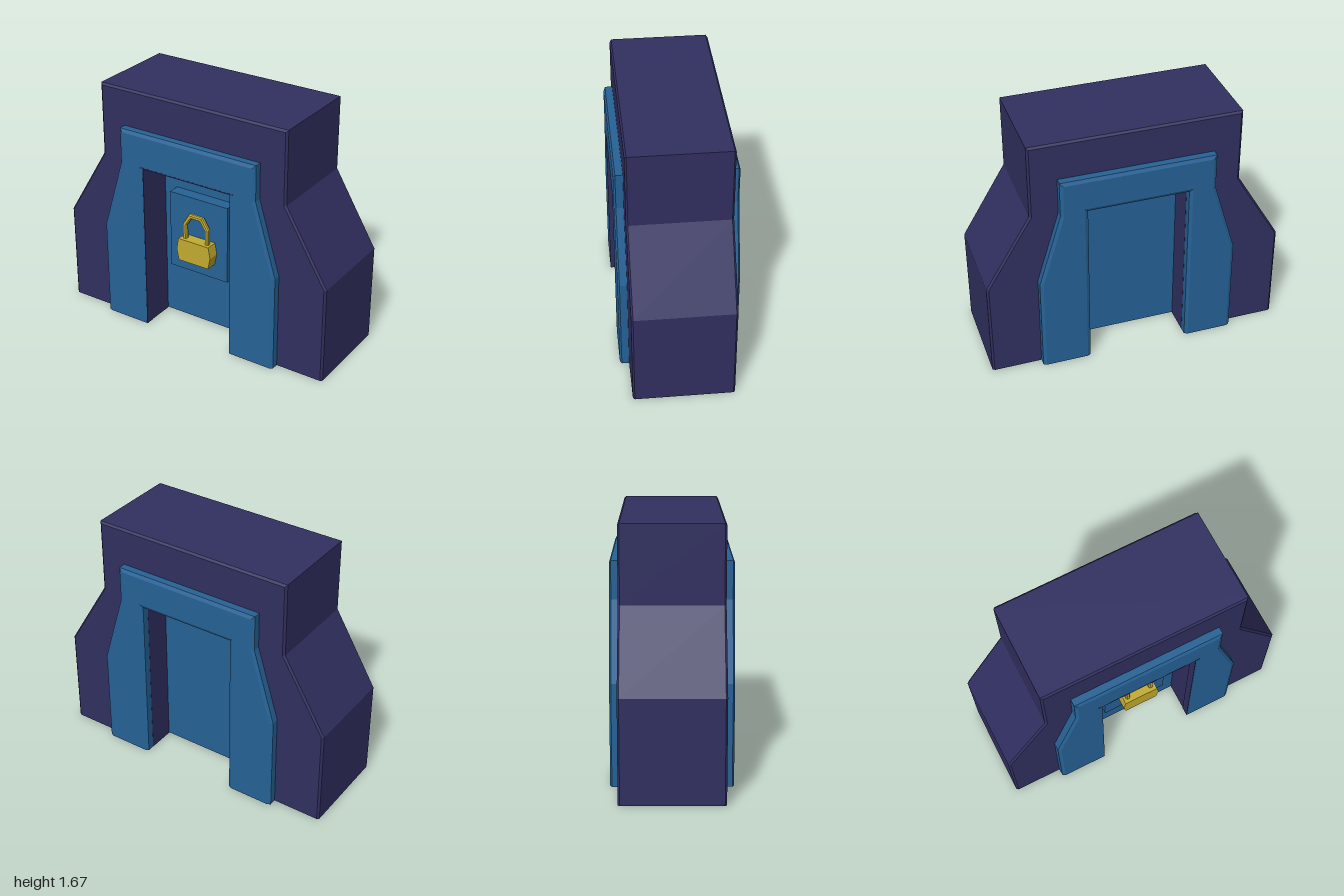
import * as THREE from 'three';

const mat = (name, color) => {
  const m = new THREE.MeshStandardMaterial({ color });
  m.name = name;
  return m;
};

// Mirrors a right-hand profile, bottom to top, into a closed outline
const mirrored = (half) => [...half, ...half.map(([x, y]) => [-x, y]).reverse()];
const toShape = (pts) => new THREE.Shape(pts.map(([x, y]) => new THREE.Vector2(x, y)));

// Arch slab with chamfered outer edges on both faces, and optionally around the opening
function archSlab(outer, openX, openY, z0, z1, bevelXY, bevelZ, innerBevel) {
  const outline = mirrored(outer);
  outline.push([-openX, 0], [-openX, openY], [openX, openY], [openX, 0]);
  const g = new THREE.ExtrudeGeometry(toShape(outline), { depth: 3, steps: 3, bevelEnabled: false });
  const p = g.attributes.position;
  const zs = [z0, z0 + bevelZ, z1 - bevelZ, z1];
  for (let i = 0; i < p.count; i++) {
    const ring = Math.round(p.getZ(i));
    let x = p.getX(i), y = p.getY(i);
    if (ring === 0 || ring === 3) {
      if (Math.abs(x) > openX + 0.01) {
        x -= Math.sign(x) * bevelXY;
        if (y > openY + 0.1) y -= bevelXY;
      } else if (innerBevel) {
        x += Math.sign(x) * bevelXY;
        if (y > 0.5) y += bevelXY;
      }
    }
    p.setXYZ(i, x, y, zs[ring]);
  }
  g.computeVertexNormals();
  return g;
}

export function createModel() {
  const group = new THREE.Group();
  const stone = mat('dark indigo', 0x312f60);
  const blue = mat('door blue', 0x266296);
  const gold = mat('lock gold', 0xc2ab2f);

  const add = (name, geometry, material, x = 0, y = 0, z = 0) => {
    const m = new THREE.Mesh(geometry, material);
    m.name = name;
    m.position.set(x, y, z);
    group.add(m);
    return m;
  };
  const box = (name, material, w, h, d, x, y, z) =>
    add(name, new THREE.BoxGeometry(w, h, d), material, x, y, z);

  // Gate wall with stepped, sloping shoulders
  const wall = [[1, 0], [1, 0.67], [0.7, 1.17], [0.7, 1.67]];
  add('wall', archSlab(wall, 0.335, 1.175, -0.33, 0.33, 0.014, 0.012, false), stone);

  // Raised frames on both faces
  const frame = [[0.665, 0], [0.665, 0.67], [0.515, 1.17], [0.515, 1.415]];
  add('frontFrame', archSlab(frame, 0.336, 1.176, 0.308, 0.39, 0.022, 0.012, false), blue);
  add('backFrame', archSlab(frame, 0.336, 1.176, 0.308, 0.39, 0.022, 0.012, true), blue).rotation.y = Math.PI;

  // Dark lining inside the front frame
  for (const s of [-1, 1]) box('jambLining', stone, 0.006, 1.175, 0.06, s * 0.335, 0.5875, 0.359);
  box('lintelLining', stone, 0.72, 0.008, 0.062, 0, 1.177, 0.36);

  // Door and its lock plate
  box('door', blue, 0.67, 1.17, 0.285, 0, 0.59, 0);
  box('lockPlate', blue, 0.45, 0.55, 0.085, -0.015, 0.695, 0.182);

  // Padlock body with angled sides
  const body = mirrored([[0.116, 0.53], [0.132, 0.61], [0.118, 0.69]]);
  add('lockBody', new THREE.ExtrudeGeometry(toShape(body), { depth: 0.085, bevelEnabled: false }),
    gold, -0.004, 0, 0.22);

  // Angular shackle with chamfered edges
  const arc = mirrored([[0.094, 0.68], [0.094, 0.795], [0.048, 0.868]]);
  arc.push([-0.078, 0.68], [-0.078, 0.79], [-0.038, 0.852], [0.038, 0.852], [0.078, 0.79], [0.078, 0.68]);
  add('lockShackle', new THREE.ExtrudeGeometry(toShape(arc), {
    depth: 0.016, bevelEnabled: true, bevelSegments: 1, bevelSize: 0.007, bevelThickness: 0.009,
  }), gold, -0.004, 0, 0.257);

  return group;
}
